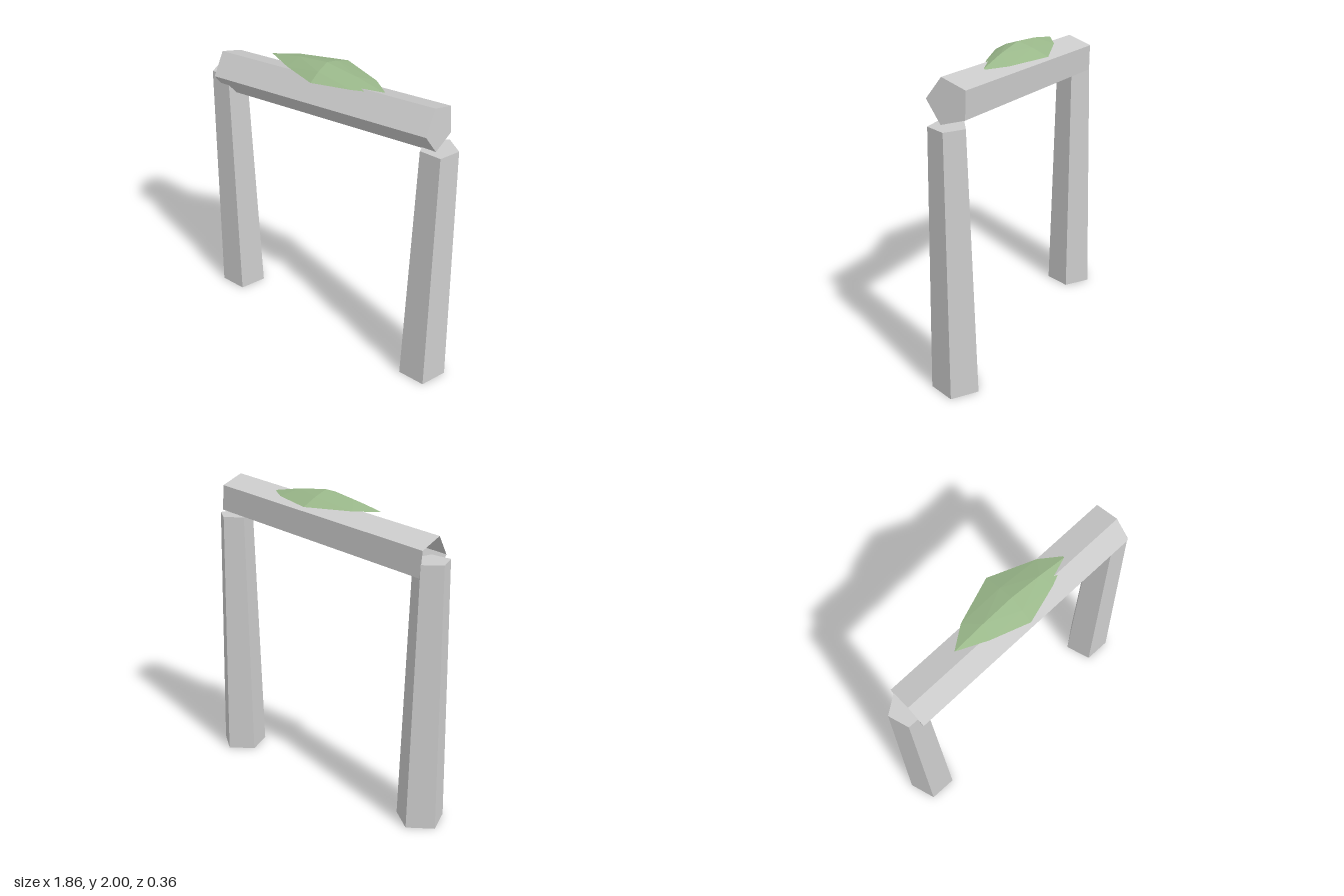
import * as THREE from 'three';
import { ConvexGeometry } from 'three/addons/geometries/ConvexGeometry.js';
import { mergeGeometries } from 'three/addons/utils/BufferGeometryUtils.js';

const SIDES = 5;

// Five-sided stone shaft along y, closed at the top and open underneath
function shaftGeometry(rTop, rBottom, length) {
  const wall = new THREE.CylinderGeometry(rTop, rBottom, length, SIDES, 1, true);
  const cap = new THREE.CircleGeometry(rTop, SIDES, Math.PI / 2);
  cap.rotateX(-Math.PI / 2).rotateY(Math.PI).translate(0, length / 2, 0);
  return mergeGeometries([wall, cap]);
}

export function createModel() {
  const group = new THREE.Group();
  const stone = new THREE.MeshStandardMaterial({
    color: 0xcccccc, flatShading: true, side: THREE.DoubleSide,
  });
  const moss = new THREE.MeshStandardMaterial({ color: 0x9ab88a, flatShading: true });

  // Two tapering posts, flat side to the front
  const postHeight = 1.713;
  const postGeometry = shaftGeometry(0.114, 0.155, postHeight);
  for (const side of [-1, 1]) {
    const post = new THREE.Mesh(postGeometry, stone);
    post.name = side > 0 ? 'leftPost' : 'rightPost';
    post.position.set(side * 0.785, postHeight / 2, 0.02);
    post.rotation.y = Math.PI;
    group.add(post);
  }

  // Slanted lintel resting on the posts
  const lintel = new THREE.Mesh(shaftGeometry(0.141, 0.141, 1.575), stone);
  lintel.name = 'lintel';
  lintel.position.set(-0.003, 1.78, 0.021);
  lintel.rotation.z = -Math.PI / 2 + 0.083;
  group.add(lintel);

  // Faceted moss patch: rim, crown and underside
  const points = [
    [0, 2, 0.02], [0, 1.88, 0.01],
    [0, 1.93, -0.185], [0, 1.93, 0.177],
    [0, 1.973, -0.075], [0, 1.971, 0.105],
  ];
  for (const s of [-1, 1]) {
    points.push(
      [s * 0.42, 1.93, 0.02], [s * 0.285, 1.93, -0.078], [s * 0.235, 1.93, 0.102],
      [s * 0.21, 1.973, 0.02], [s * 0.2, 1.902, 0.015],
    );
  }
  const patch = new THREE.Mesh(
    new ConvexGeometry(points.map((p) => new THREE.Vector3(...p))), moss);
  patch.name = 'mossPatch';
  group.add(patch);

  return group;
}
